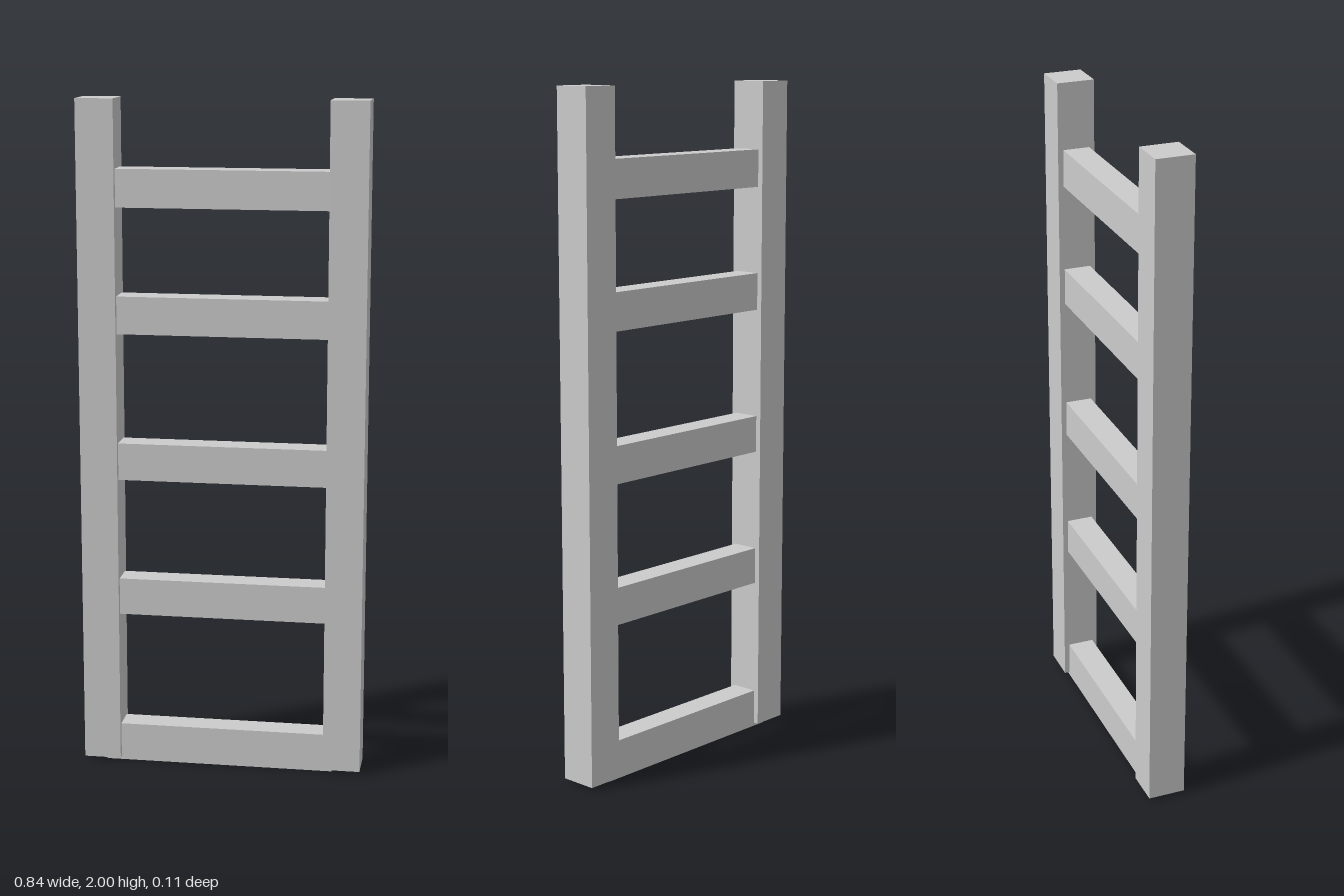
import * as THREE from 'three';

export function createModel() {
  const group = new THREE.Group();
  group.name = 'ladder';
  const material = new THREE.MeshStandardMaterial({ color: 0xcccccc, flatShading: true });

  const addBox = (name, [w, h, d], [x, y, z]) => {
    const mesh = new THREE.Mesh(new THREE.BoxGeometry(w, h, d), material);
    mesh.name = name;
    mesh.position.set(x, y, z);
    group.add(mesh);
  };

  // Square upright rails
  for (const side of [-1, 1]) {
    addBox(side > 0 ? 'leftRail' : 'rightRail', [0.111, 1.99, 0.112], [side * 0.3655, 1.005, 0]);
  }

  // Rungs, let into the rails at both ends; the lowest sits just below the rail feet
  [0.058, 0.522, 0.938, 1.376, 1.745].forEach((y, i) => {
    addBox(`rung${i + 1}`, [0.69, i ? 0.111 : 0.116, 0.08], [-0.01, y, 0]);
  });

  return group;
}
